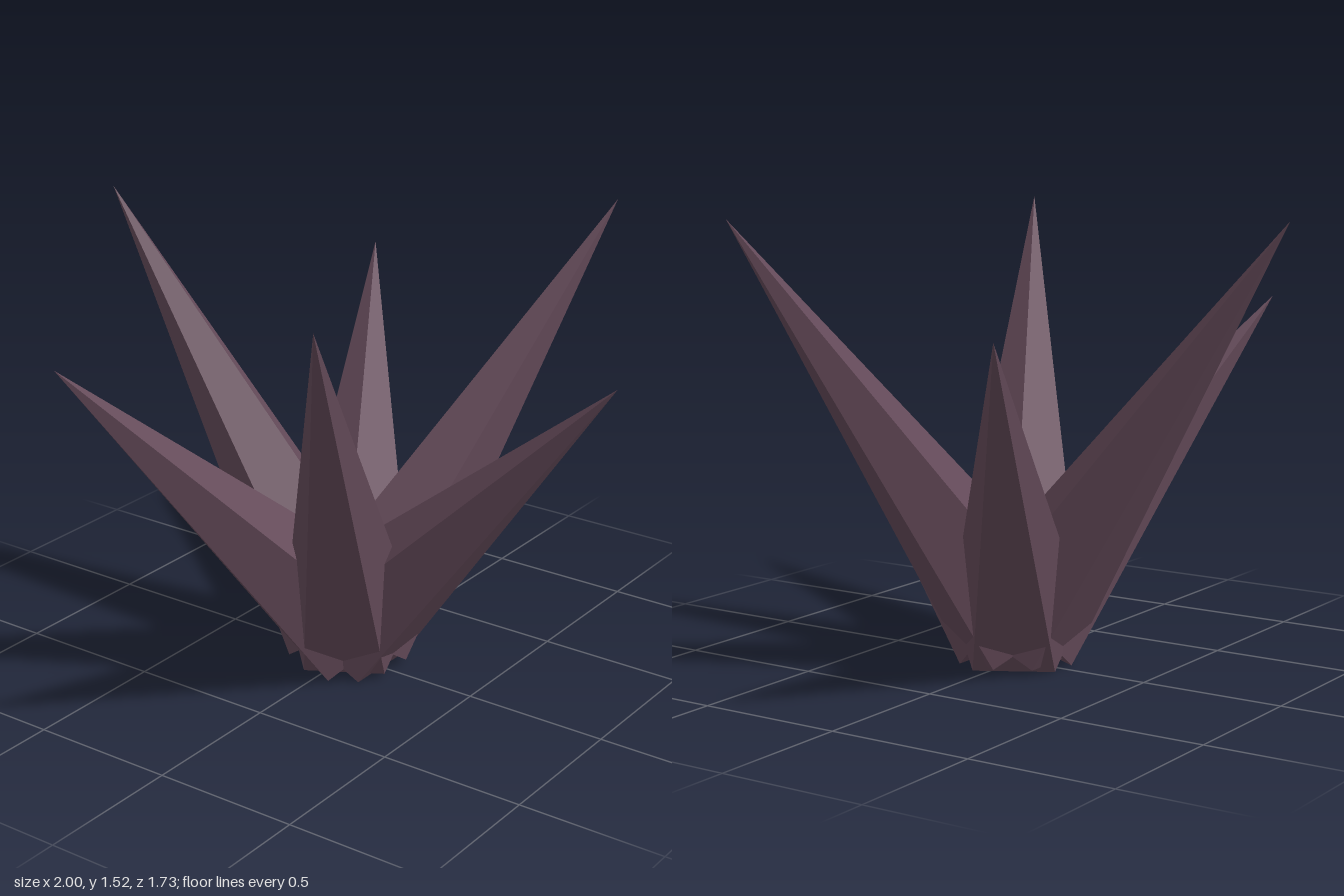
import * as THREE from 'three';

export function createModel() {
  const model = new THREE.Group();
  model.name = 'crystalCluster';

  const crystalPurple = new THREE.MeshStandardMaterial({ color: 0x644a59, flatShading: true });
  crystalPurple.name = 'crystalPurple';

  const hubY = 0.13;       // height where all the shard axes meet
  const baseRadius = 0.234;

  // Five-sided shard leaning outwards, one ridge facing up and a flat face below
  function shardGeometry(tipY) {
    const rise = tipY - hubY;
    const length = Math.hypot(1, rise);
    const geometry = new THREE.ConeGeometry(baseRadius, length, 5, 1);
    geometry.translate(0, length / 2, 0);
    geometry.rotateX(-Math.atan2(1, rise));
    geometry.translate(0, hubY, 0);
    return geometry;
  }

  const shortShard = shardGeometry(1.2);
  const tallShard = shardGeometry(1.52);

  // Six shards in a ring, short and tall in turn, starting with a short one at +x
  for (let i = 0; i < 6; i++) {
    const tall = i % 2 === 1;
    const shard = new THREE.Mesh(tall ? tallShard : shortShard, crystalPurple);
    shard.name = (tall ? 'tallShard' : 'shortShard') + (Math.floor(i / 2) + 1);
    shard.rotation.y = -Math.PI / 2 + (i * Math.PI) / 3;
    model.add(shard);
  }

  return model;
}
